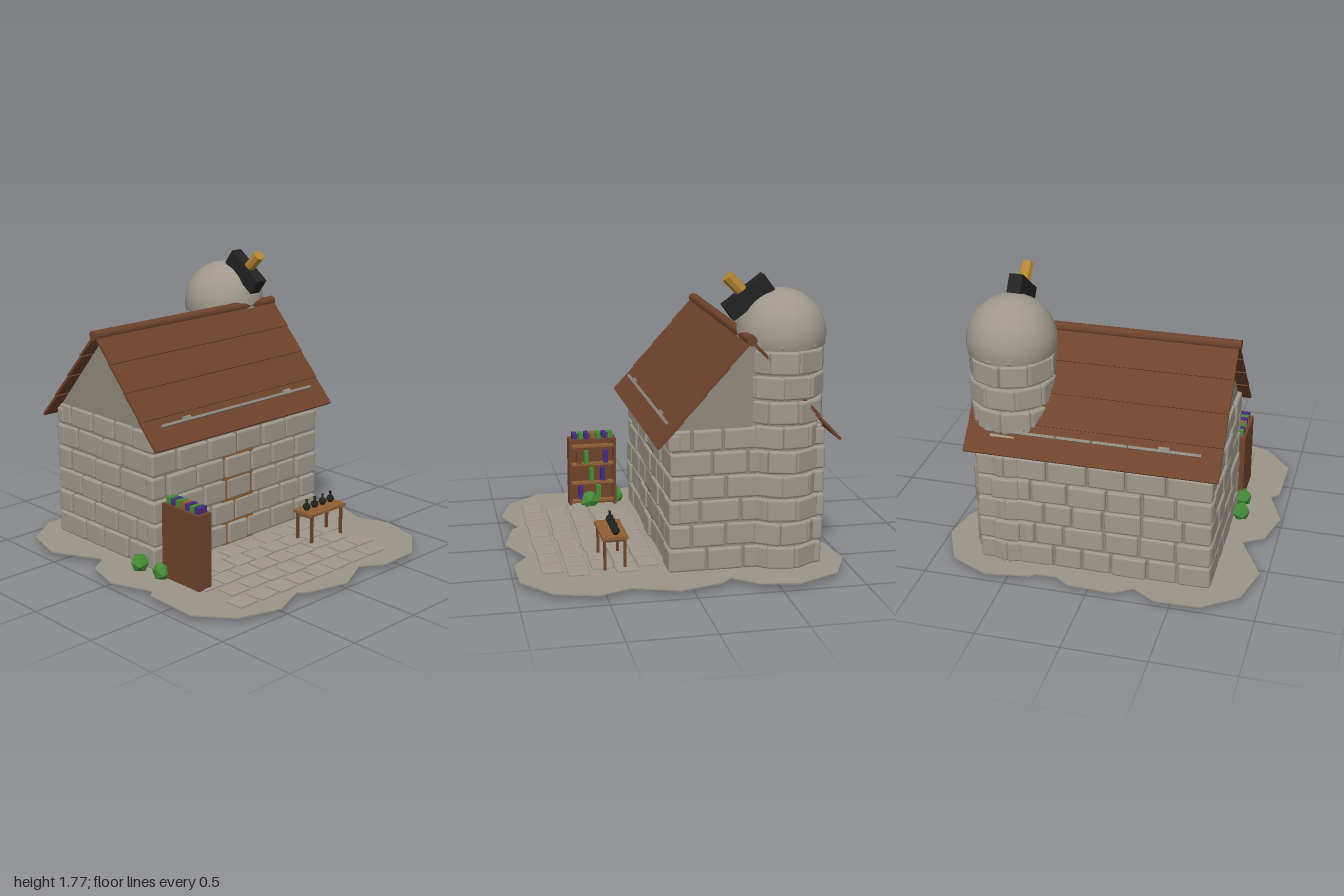
import * as THREE from 'three';
import { mergeGeometries } from 'three/addons/utils/BufferGeometryUtils.js';
import { RoundedBoxGeometry } from 'three/addons/geometries/RoundedBoxGeometry.js';

const mat = (name, color, extra = {}) => Object.assign(new THREE.MeshStandardMaterial({ color, ...extra }), { name });

export function createModel() {
  const M = {
    stone: mat('stone', 0xa0988c), mortar: mat('mortar', 0x8f887c), earth: mat('earth', 0x9c9488),
    roof: mat('dark wood', 0x6e432c), wood: mat('light wood', 0x8f5f33), metal: mat('grey metal', 0x8c8880),
    brass: mat('brass', 0xb58733), black: mat('black', 0x222222),
    leaf: mat('leaf green', 0x468a36), purple: mat('purple', 0x452c80),
  };
  M.leaf.flatShading = true;
  const model = new THREE.Group();
  model.name = 'stoneObservatory';

  let seed = 7;
  const rnd = (a, b) => {
    seed = (seed * 16807) % 2147483647;
    return a + (b - a) * (seed / 2147483647);
  };
  const add = (parent, name, geo, material, x = 0, y = 0, z = 0) => {
    const m = new THREE.Mesh(geo, material);
    m.name = name;
    m.position.set(x, y, z);
    parent.add(m);
    return m;
  };
  const box = (parent, name, material, w, h, d, x, y, z) =>
    add(parent, name, new THREE.BoxGeometry(w, h, d), material, x, y, z);

  // Ground sheet with a scalloped outline
  const outline = [
    [-0.68, -0.99], [-0.41, -1], [-0.27, -0.91], [-0.16, -0.98], [0.12, -0.97], [0.2, -0.91], [0.33, -0.91],
    [0.36, -0.94], [0.63, -0.98], [0.86, -0.87], [0.98, -0.61], [0.94, -0.38], [0.82, -0.24], [0.88, -0.18],
    [0.95, 0.08], [0.86, 0.35], [0.93, 0.55], [0.86, 0.8], [0.65, 0.97], [0.39, 0.98], [0.25, 0.89], [0.01, 1],
    [-0.26, 0.93], [-0.3, 0.89], [-0.52, 0.98], [-0.78, 0.9], [-0.95, 0.69], [-0.94, 0.34], [-0.89, 0.3],
    [-0.99, 0.04], [-0.93, -0.19], [-0.8, -0.27], [-0.96, -0.58], [-0.89, -0.84],
  ].map(([x, z]) => new THREE.Vector2(x, z));
  const groundGeo = new THREE.ExtrudeGeometry(new THREE.Shape(outline), { depth: 0.008, bevelEnabled: false });
  add(model, 'ground', groundGeo.rotateX(Math.PI / 2), M.earth, 0, 0.044, 0);

  // Paving stones in five staggered rows
  const pavers = [];
  [[0.2, -0.54, 0.55], [0.33, -0.6, 0.62], [0.47, -0.69, 0.55], [0.62, -0.62, 0.63], [0.77, -0.7, 0.56]]
    .forEach(([z, x0, x1]) => {
      const n = Math.round((x1 - x0) / 0.153), step = (x1 - x0) / n;
      for (let i = 0; i < n; i++) {
        pavers.push(new RoundedBoxGeometry(step - 0.014, 0.016, 0.125, 1, 0.006)
          .rotateY(rnd(-0.06, 0.06)).translate(x0 + (i + 0.5) * step, 0.048, z + rnd(-0.008, 0.008)));
      }
    });
  add(model, 'pavingStones', mergeGeometries(pavers), M.stone);

  // House core with gables, extruded along x
  const section = new THREE.Shape([[-0.08, 0.03], [0.8, 0.03], [0.8, 0.89], [0.36, 1.39], [-0.08, 0.89]]
    .map(([a, b]) => new THREE.Vector2(a, b)));
  const coreGeo = new THREE.ExtrudeGeometry(section, { depth: 1.36, bevelEnabled: false });
  add(model, 'houseCore', coreGeo.rotateY(Math.PI / 2).translate(-0.68, 0, 0), M.mortar);

  // House walls: courses of rounded blocks on all four sides
  const COURSE = 0.1455, BASE = 0.045;
  const wall = (name, length, cx, cz, angle, lastHeight) => {
    const blocks = [];
    for (let r = 0; r < 6; r++) {
      const h = r === 5 ? lastHeight : COURSE;
      let x = -length / 2, first = true;
      while (x < length / 2 - 0.01) {
        let w = first && r % 2 ? 0.12 : rnd(0.17, 0.25);
        if (length / 2 - x - w < 0.09) w = length / 2 - x;
        const depth = rnd(0.06, 0.075);
        blocks.push(new RoundedBoxGeometry(w - 0.012, h - 0.012, depth, 1, 0.014)
          .rotateZ(rnd(-0.02, 0.02))
          .translate(x + w / 2, BASE + r * COURSE + h / 2, depth / 2 - 0.045));
        x += w;
        first = false;
      }
    }
    add(model, name, mergeGeometries(blocks).rotateY(angle).translate(cx, 0, cz), M.stone);
  };
  wall('frontWall', 1.42, 0, 0.08, 0, 0.115);
  wall('backWall', 1.42, 0, -0.8, Math.PI, 0.115);
  wall('rightWall', 0.9, -0.68, -0.36, -Math.PI / 2, 0.135);
  wall('leftWall', 0.9, 0.68, -0.36, Math.PI / 2, 0.135);
  // Walled-up door seen through the joints
  box(model, 'walledDoor', M.wood, 0.27, 0.72, 0.008, 0, 0.4, 0.085);

  // Tower: core, rings of blocks and dome
  const tower = new THREE.Group();
  tower.name = 'tower';
  tower.position.set(0.53, 0, -0.59);
  model.add(tower);
  add(tower, 'towerCore', new THREE.CylinderGeometry(0.225, 0.225, 1.4, 24), M.mortar, 0, 0.73, 0);
  const ring = [];
  for (let r = 0; r < 10; r++) {
    const h = r === 9 ? 0.08 : COURSE, n = 9;
    for (let i = 0; i < n; i++) {
      const g = new RoundedBoxGeometry(rnd(0.158, 0.176), h - 0.012, 0.07, 1, 0.014);
      // bend each block to the curve of the tower
      const p = g.attributes.position;
      for (let k = 0; k < p.count; k++) p.setZ(k, p.getZ(k) - 1.3 * p.getX(k) ** 2);
      ring.push(g.rotateZ(rnd(-0.03, 0.03)).translate(0, BASE + r * COURSE + h / 2, 0.217 + rnd(-0.004, 0.006))
        .rotateY(((i + (r % 2) * 0.5) / n) * Math.PI * 2));
    }
  }
  add(tower, 'towerBlocks', mergeGeometries(ring), M.stone);
  add(tower, 'dome', new THREE.SphereGeometry(0.262, 20, 12, 0, Math.PI * 2, 0, 1.8), M.stone, 0, 1.418, 0);
  add(tower, 'domeUnderside', new THREE.CircleGeometry(0.255, 20).rotateX(Math.PI / 2), M.stone, 0, 1.359, 0);

  // Telescope: black housing and brass barrel
  box(model, 'telescopeHousing', M.black, 0.08, 0.11, 0.295, 0.53, 1.635, -0.387).rotation.x = 0.64;
  const barrel = add(model, 'telescopeBarrel', new THREE.CylinderGeometry(0.037, 0.037, 0.2, 8), M.brass,
    0.53, 1.685, -0.335);
  barrel.rotation.x = 0.78;
  barrel.material.flatShading = true;

  // Roof: two mirrored slopes of lapped planks, each with a snow guard
  const pitch = Math.atan2(0.6, 0.53);
  for (const side of ['front', 'back']) {
    const turn = new THREE.Group();
    turn.name = side + 'Roof';
    turn.position.set(0, 1.418, -0.36);
    turn.rotation.y = side === 'front' ? 0 : Math.PI;
    model.add(turn);
    const slope = new THREE.Group();
    slope.name = side + 'Slope';
    slope.rotation.x = pitch;
    turn.add(slope);
    for (let i = 0; i < 4; i++) {
      box(slope, 'roofPlank', M.roof, 1.495, 0.016, 0.215, 0, 0.004, 0.103 + i * 0.199).rotation.x = -0.035;
    }
    for (let i = 0; i < 6; i++) {
      box(slope, 'snowGuardBar', M.metal, 0.205, 0.014, 0.016, -0.53 + i * 0.212, 0.03, 0.668);
      box(slope, 'snowGuardFoot', M.metal, 0.012, 0.02, 0.012, -0.6 + i * 0.212, 0.02, 0.668);
    }
    for (const x of [-0.43, 0.42]) box(slope, 'snowGuardClip', M.metal, 0.06, 0.014, 0.03, x, 0.032, 0.66);
  }
  add(model, 'ridgePole', new THREE.CylinderGeometry(0.031, 0.031, 1.51, 8).rotateZ(Math.PI / 2), M.roof,
    -0.005, 1.418, -0.36);

  // Bookcase, open towards the house's left
  const shelf = new THREE.Group();
  shelf.name = 'bookcase';
  shelf.position.set(-0.67, 0, 0.353);
  model.add(shelf);
  box(shelf, 'bookcaseBack', M.roof, 0.055, 0.46, 0.315, -0.022, 0.28, 0);
  for (const s of [-1, 1]) box(shelf, 'bookcaseSide', M.roof, 0.1, 0.46, 0.018, 0, 0.28, s * 0.149);
  for (const y of [0.08, 0.205, 0.335, 0.46]) box(shelf, 'shelfBoard', M.wood, 0.09, 0.014, 0.285, 0, y, 0);
  box(shelf, 'bookcaseTop', M.roof, 0.1, 0.014, 0.315, 0, 0.505, 0);
  const bookColours = [M.purple, M.leaf, M.purple, M.wood, M.leaf, M.purple, M.leaf];
  for (let i = 0; i < 7; i++) {
    box(shelf, 'topBook', bookColours[i], 0.07, i % 2 ? 0.036 : 0.04, 0.03, 0.004, 0.53, 0.117 - i * 0.04);
  }
  const rowBooks = [[0.04, 0.38, M.leaf], [0.005, 0.262, M.leaf], [-0.04, 0.138, M.leaf],
    [0.09, 0.38, M.roof], [-0.07, 0.262, M.purple], [0.08, 0.138, M.purple], [-0.09, 0.38, M.purple]];
  for (const [z, y, m] of rowBooks) box(shelf, 'shelvedBook', m, 0.045, 0.09, 0.03, 0.02, y, z);

  // Work table with four flasks
  const table = new THREE.Group();
  table.name = 'table';
  table.position.set(0.42, 0, 0.4);
  model.add(table);
  box(table, 'tableTop', M.wood, 0.32, 0.018, 0.155, 0, 0.242, 0);
  for (const sx of [-1, 1]) {
    box(table, 'tableApron', M.roof, 0.012, 0.02, 0.12, sx * 0.135, 0.225, 0);
    for (const sz of [-1, 1]) box(table, 'tableLeg', M.roof, 0.016, 0.2, 0.016, sx * 0.135, 0.138, sz * 0.06);
  }
  const flask = [[0, 0], [0.014, 0.002], [0.025, 0.02], [0.021, 0.037], [0.008, 0.048], [0.007, 0.068],
    [0.011, 0.071], [0, 0.072]].map(([r, y]) => new THREE.Vector2(r, y));
  for (const x of [-0.11, -0.037, 0.037, 0.11]) add(table, 'flask', new THREE.LatheGeometry(flask, 10), M.black, x, 0.25, -0.01);

  // Faceted bushes
  for (const [x, y, z, r] of [[-0.74, 0.085, 0.01, 0.062], [-0.72, 0.08, 0.19, 0.062], [-0.65, 0.08, 0.375, 0.07],
    [-0.45, 0.05, -0.5, 0.035], [-0.08, 0.05, -0.58, 0.035], [0.43, 0.04, -0.65, 0.035]]) {
    const bush = add(model, 'bush', new THREE.IcosahedronGeometry(r, 0), M.leaf, x, y, z);
    bush.rotation.set(rnd(0, 3), rnd(0, 3), 0);
  }
  return model;
}
